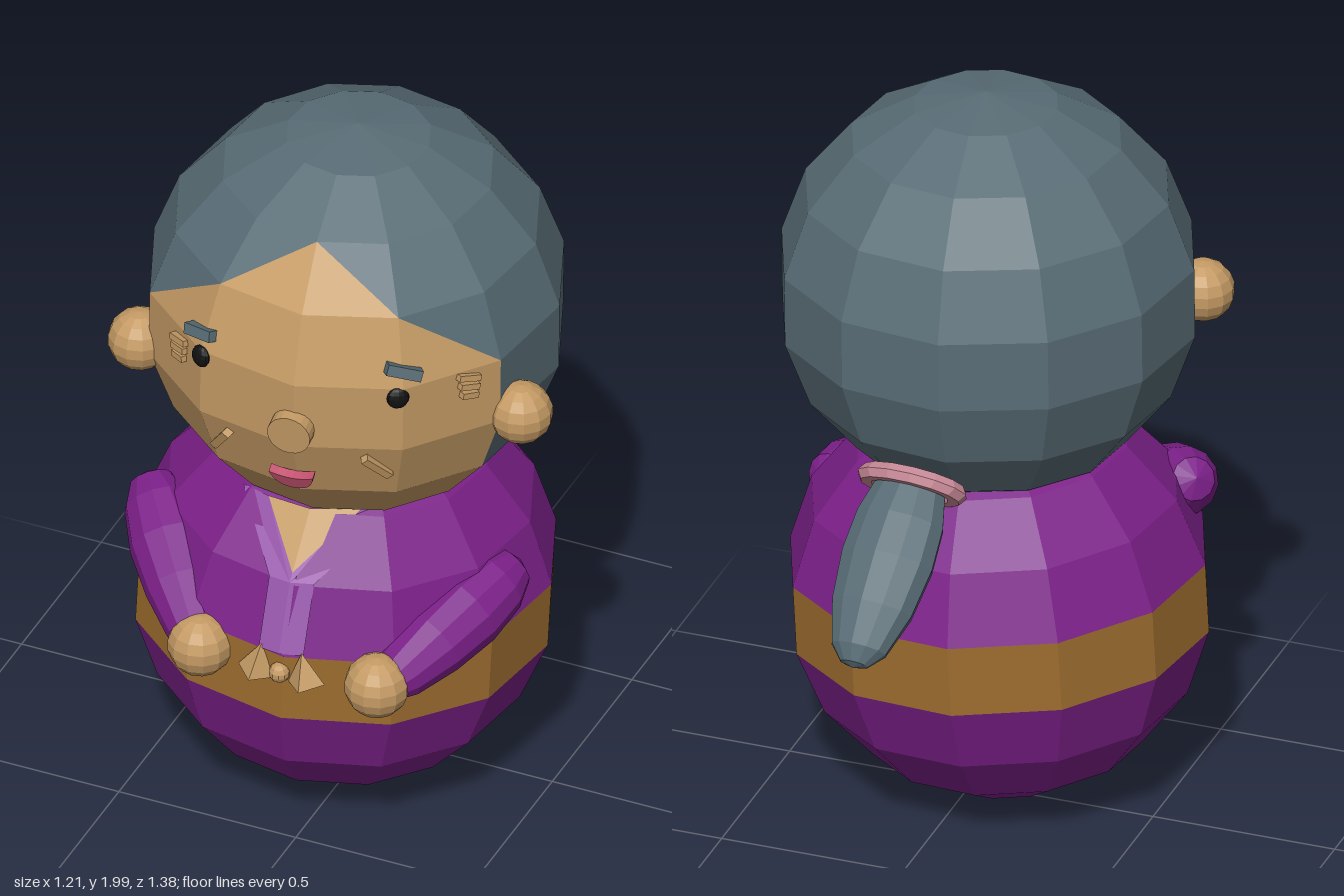
import * as THREE from 'three';

const COLORS = {
  skin: 0xc49a64, hair: 0x586c75, robe: 0x7c2089, belt: 0x9c6c2f,
  collar: 0x9656aa, tie: 0xc48794, mouth: 0xc2506e, eye: 0x111111,
};
const V = (x, y, z) => new THREE.Vector3(x, y, z);
const Y = V(0, 1, 0), Z = V(0, 0, 1);
const HEAD = V(-0.015, 1.444, 0.085), BODY = V(-0.05, 0.57, 0.075);

function part(parent, name, geometry, color, pos = V(0, 0, 0)) {
  const mesh = new THREE.Mesh(geometry,
    new THREE.MeshStandardMaterial({ color: COLORS[color], flatShading: true }));
  mesh.name = name;
  mesh.position.copy(pos);
  parent.add(mesh);
  return mesh;
}

// The triangles of a 12 x 9 ball that pass test(corners), column 0 facing front
function ballPatch(radius, test) {
  const spin = 0.12, out = [];
  const point = ([i, j]) => {
    const lat = Math.PI * (0.5 - i / 9), lon = j * Math.PI / 6 + spin;
    return [radius * Math.cos(lat) * Math.sin(lon), radius * Math.sin(lat),
      radius * Math.cos(lat) * Math.cos(lon)];
  };
  for (let i = 0; i < 9; i++) for (let j = -6; j < 6; j++) {
    const a = [i, j], b = [i + 1, j], c = [i + 1, j + 1], d = [i, j + 1];
    // diagonals mirrored about the front column
    const tris = i === 0 ? [[a, b, c]] : i === 8 ? [[a, b, d]]
      : j >= 0 ? [[a, b, c], [a, c, d]] : [[a, b, d], [b, c, d]];
    for (const t of tris) if (test(t, i)) for (const p of t) out.push(...point(p));
  }
  const g = new THREE.BufferGeometry();
  g.setAttribute('position', new THREE.Float32BufferAttribute(out, 3));
  g.computeVertexNormals();
  return g;
}

// Tapered rounded limb from one point to another
function limb(parent, name, color, from, to, rx, rz, profile) {
  const pts = profile.map(([r, t]) => new THREE.Vector2(r, t));
  const dir = to.clone().sub(from), m = part(parent, name, new THREE.LatheGeometry(pts, 12), color, from);
  m.scale.set(rx, dir.length(), rz);
  m.quaternion.setFromUnitVectors(Y, dir.normalize());
  return m;
}

export function createModel() {
  const model = new THREE.Group();

  // Body: robe with a belt band round the middle, leaning slightly
  const body = new THREE.Group();
  body.name = 'body';
  body.position.copy(BODY);
  body.rotation.z = -0.052;
  part(body, 'robe', ballPatch(0.56, (t, row) => row !== 4), 'robe');
  part(body, 'belt', ballPatch(0.56, (t, row) => row === 4), 'belt');
  model.add(body);

  // Head: the face widens from a peak at the hairline
  const head = new THREE.Group();
  head.name = 'head';
  head.position.copy(HEAD);
  head.rotation.set(0.015, 0, -0.018);
  const isFace = (t) => t.every(([i, j]) => Math.abs(j) <= Math.min(2, i - 2));
  part(head, 'face', ballPatch(0.556, isFace), 'skin');
  part(head, 'hair', ballPatch(0.556, (t) => !isFace(t)), 'hair');
  model.add(head);
  model.updateMatrixWorld(true);

  // Point on the front surface of a group at (x, y)
  const surface = (group, x, y) =>
    new THREE.Raycaster(V(x, y, 3), V(0, 0, -1)).intersectObject(group, true)[0].point;

  // Collar and neck: flat pieces laid on the robe, mirrored
  const collarPieces = [
    ['neck', 'skin', [[0, 0.87], [0.12, 1], [0, 1]]],
    ['lapel', 'collar', [[0, 0.85], [0.06, 0.85], [0.2, 1], [0.12, 1], [0, 0.87]]],
    ['collarBand', 'collar', [[0, 0.67], [0.06, 0.67], [0.06, 0.85], [0, 0.85]]],
  ];
  for (const [name, color, outline] of collarPieces) for (const side of [-1, 1]) {
    const pts = outline.map(([x, y]) => {
      const p = surface(body, 0.008 + side * x, y);
      return p.add(p.clone().sub(BODY).setLength(0.006));
    });
    const pos = [];
    for (let k = 1; k < pts.length - 1; k++) {
      const tri = [pts[0], pts[k], pts[k + 1]];
      for (const p of side > 0 ? tri : tri.reverse()) pos.push(...p.toArray());
    }
    const g = new THREE.BufferGeometry();
    g.setAttribute('position', new THREE.Float32BufferAttribute(pos, 3));
    g.computeVertexNormals();
    part(model, name, g, color).material.side = THREE.DoubleSide;
  }

  // Facial features sit on the head and face outwards
  const features = new THREE.Group();
  features.name = 'features';
  model.add(features);
  function feature(name, geometry, color, x, y, roll = 0) {
    const p = surface(head, x, y);
    const m = part(features, name, geometry, color, p);
    m.quaternion.setFromUnitVectors(Z, p.clone().sub(HEAD).normalize());
    m.rotateZ(roll);
    return m;
  }
  const box = (w, h, d) => new THREE.BoxGeometry(w, h, d);
  for (const [x, y] of [[-0.228, 1.52], [0.302, 1.502]])
    feature('eye', new THREE.SphereGeometry(0.03, 12, 8), 'eye', x, y).scale.z = 0.5;
  feature('eyebrow', box(0.095, 0.03, 0.04), 'hair', -0.235, 1.58, 0.12);
  feature('eyebrow', box(0.095, 0.03, 0.04), 'hair', 0.308, 1.575, -0.25);
  for (let k = 0; k < 3; k++) {
    feature('eyeWrinkle', box(0.065 - 0.008 * k, 0.017, 0.035), 'skin', -0.31, 1.51 - 0.025 * k, 0.1);
    feature('eyeWrinkle', box(0.065 - 0.008 * k, 0.017, 0.035), 'skin', 0.43, 1.51 - 0.027 * k, -0.2);
  }
  feature('smileLine', box(0.11, 0.022, 0.035), 'skin', -0.175, 1.268, 0.95);
  feature('smileLine', box(0.1, 0.022, 0.035), 'skin', 0.24, 1.272, -0.9);
  const nose = feature('nose', new THREE.CylinderGeometry(0.058, 0.058, 0.05, 20), 'skin', 0.045, 1.39);
  nose.geometry.rotateX(Math.PI / 2);

  // Crescent mouth
  const smile = new THREE.Shape();
  smile.moveTo(-0.06, 0.025);
  smile.quadraticCurveTo(-0.05, -0.035, 0, -0.035);
  smile.quadraticCurveTo(0.05, -0.035, 0.06, 0.025);
  smile.quadraticCurveTo(0, -0.005, -0.06, 0.025);
  feature('mouth', new THREE.ExtrudeGeometry(smile, { depth: 0.025, bevelEnabled: false, curveSegments: 6 }),
    'mouth', 0.035, 1.225);

  // Ears
  for (const p of [V(-0.495, 1.365, 0.38), V(0.525, 1.345, 0.252)])
    part(model, 'ear', new THREE.SphereGeometry(0.084, 12, 9), 'skin', p);

  // Sleeves and hands
  const sleeve = [[0, 0], [0.55, 0.05], [0.85, 0.17], [1, 0.38], [0.92, 0.62], [0.7, 0.85], [0.4, 0.97], [0, 1]];
  const arms = [
    [V(-0.52, 0.87, 0.27), V(-0.21, 0.6, 0.62), V(-0.225, 0.622, 0.6)],
    [V(0.46, 0.77, 0.11), V(0.27, 0.6, 0.59), V(0.262, 0.613, 0.572)],
  ];
  for (const [shoulder, wrist, hand] of arms) {
    limb(model, 'sleeve', 'robe', shoulder, wrist, 0.105, 0.105, sleeve);
    part(model, 'hand', new THREE.SphereGeometry(0.086, 12, 9), 'skin', hand);
  }

  // Belt knot: two small pyramids and a bead
  for (const [x, roll] of [[-0.052, -0.15], [0.075, 0.15]]) {
    const m = part(model, 'knotLoop', new THREE.ConeGeometry(0.052, 0.09, 4), 'skin', V(x, 0.64, 0.615));
    m.rotation.z = roll;
  }
  part(model, 'knotBead', new THREE.SphereGeometry(0.028, 10, 7), 'skin', V(0.01, 0.615, 0.625));

  // Ponytail and its tie at the nape
  const root = V(0.045, 1.045, -0.315), tip = V(0.07, 0.69, -0.685);
  limb(model, 'ponytail', 'hair', root, tip, 0.13, 0.088,
    [[0, 0], [0.75, 0.01], [0.95, 0.2], [1, 0.42], [0.88, 0.68], [0.6, 0.9], [0.3, 0.98], [0, 1]]);
  const tie = part(model, 'hairTie', new THREE.TorusGeometry(0.1, 0.025, 6, 14), 'tie', root);
  tie.quaternion.setFromUnitVectors(Y, tip.clone().sub(root).normalize());
  tie.rotateX(Math.PI / 2);
  tie.scale.set(1.25, 0.8, 1);

  return model;
}
